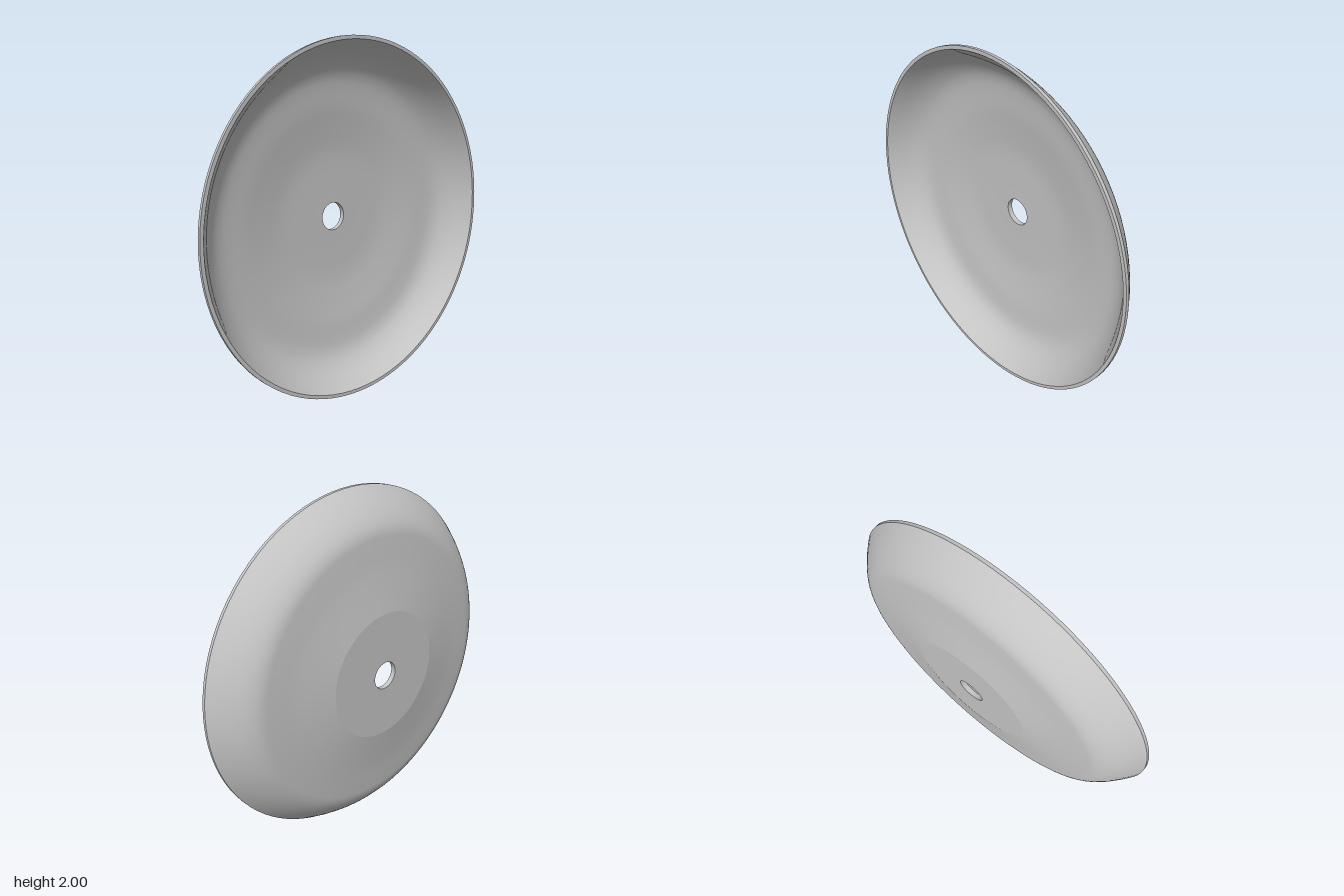
import * as THREE from 'three';

const metal = new THREE.MeshStandardMaterial({ color: 0xc4c4c4 });
metal.name = 'plain grey metal';

// Smooth curve through [radius, z] points
const smooth = (pts, n) =>
  new THREE.SplineCurve(pts.map(([r, z]) => new THREE.Vector2(r, z))).getPoints(n);
const straight = (pts) => pts.map(([r, z]) => new THREE.Vector2(r, z));

// Turn a profile around the z axis
function turned(name, points) {
  const geometry = new THREE.LatheGeometry(points, 96);
  geometry.rotateX(Math.PI / 2);
  const mesh = new THREE.Mesh(geometry, metal);
  mesh.name = name;
  return mesh;
}

export function createModel() {
  const dish = new THREE.Group();
  dish.name = 'dish';

  // Profile runs from the hole along the back, over the rim, and back inside
  dish.add(
    turned('backPlate', straight([[0.08, -0.13], [0.37, -0.13]])),
    turned('outerShell', smooth([
      [0.37, -0.13], [0.5, -0.11], [0.62, -0.093], [0.74, -0.08], [0.8, -0.071],
      [0.85, -0.048], [0.9, -0.008], [0.95, 0.046], [1, 0.112],
    ], 40)),
    turned('rimSide', straight([[1, 0.112], [1, 0.13]])),
    turned('rimFace', straight([[1, 0.13], [0.98, 0.13]])),
    turned('innerShell', smooth([
      [0.98, 0.13], [0.935, 0.065], [0.89, 0.014], [0.84, -0.024], [0.79, -0.045],
      [0.73, -0.056], [0.62, -0.067], [0.5, -0.083], [0.37, -0.097], [0.22, -0.1], [0.08, -0.1],
    ], 48)),
    turned('holeWall', straight([[0.08, -0.1], [0.08, -0.13]])),
  );

  dish.position.y = 1;
  const model = new THREE.Group();
  model.name = 'shallowDish';
  model.add(dish);
  return model;
}
